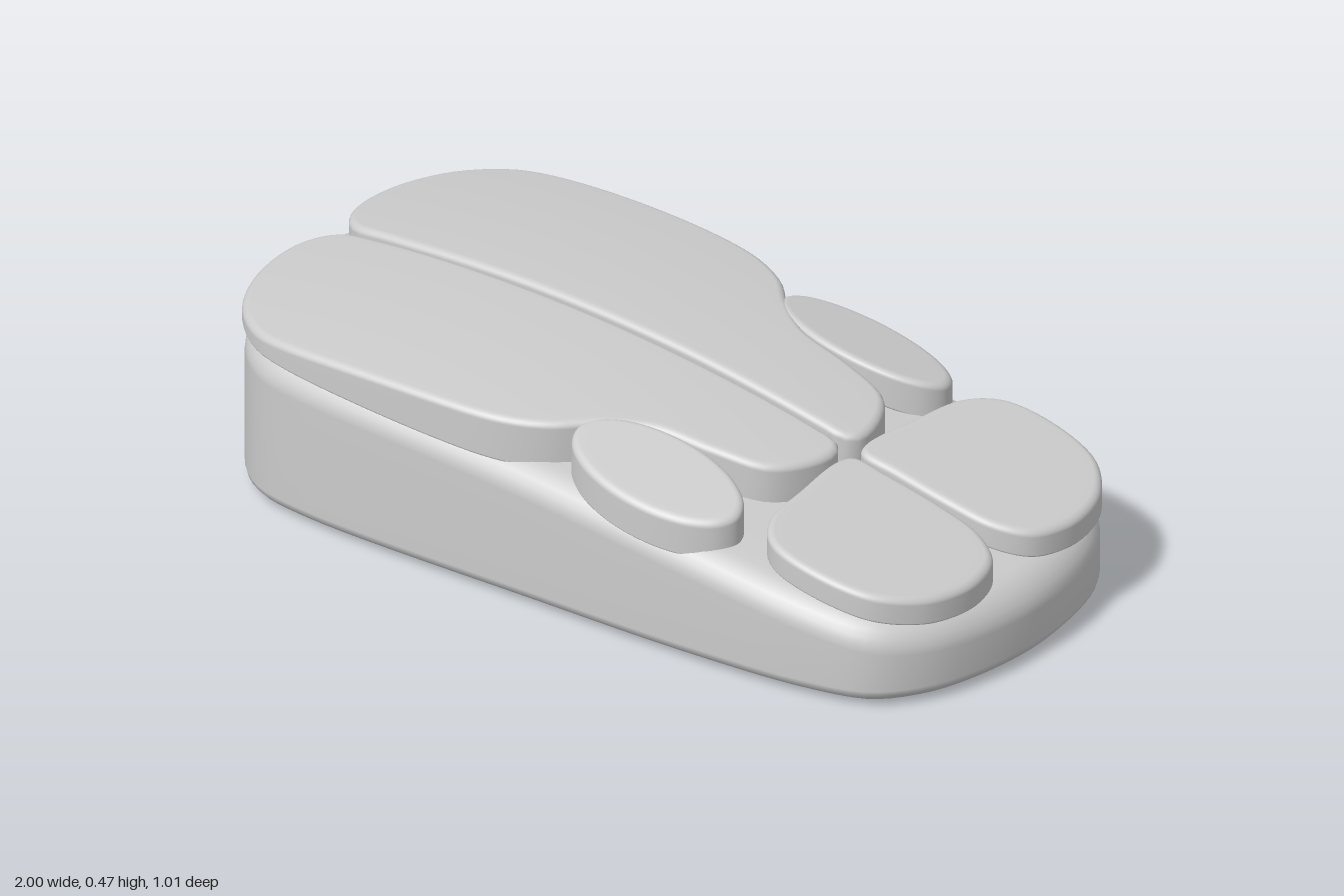
import * as THREE from 'three';

const material = new THREE.MeshStandardMaterial({ color: 0xcccccc, side: THREE.DoubleSide });

// Smooth closed outline in plan, ordered so that (-tz, tx) points outward
function outline(points, count) {
  const curve = new THREE.CatmullRomCurve3(points.map(([x, z]) => new THREE.Vector3(x, 0, z)), true, 'centripetal');
  const pts = curve.getSpacedPoints(count).slice(0, count).map((p) => new THREE.Vector2(p.x, p.z));
  if (THREE.ShapeUtils.area(pts) > 0) pts.reverse();
  return pts;
}

// Cushion between two height fields, with rounded lower and upper rims
function cushion(name, { points, centre, top, bottom, low, high, count = 120 }) {
  const rim = outline(points, count);
  const normals = rim.map((p, i) => {
    const t = rim[(i + 1) % count].clone().sub(rim[(i + count - 1) % count]).normalize();
    return new THREE.Vector2(-t.y, t.x);
  });
  const [lowIn, lowUp] = low, [highIn, highDown] = high;
  const rings = []; // inset from rim, scale about centre, height field, height offset
  for (const s of [0, 0.4, 0.8]) rings.push([lowIn, s, bottom, 0]);
  for (let i = 0; i <= 5; i++) {
    const a = (i / 5) * Math.PI / 2;
    rings.push([lowIn * (1 - Math.sin(a)), 1, bottom, lowUp * (1 - Math.cos(a))]);
  }
  for (let i = 0; i <= 6; i++) {
    const a = (i / 6) * Math.PI / 2;
    rings.push([highIn * (1 - Math.cos(a)), 1, top, -highDown * (1 - Math.sin(a))]);
  }
  for (let i = 11; i >= 0; i--) rings.push([highIn, i / 12, top, 0]);

  const position = [], index = [];
  rings.forEach(([inset, s, field, dy], r) => {
    rim.forEach((p, i) => {
      const x = centre[0] + (p.x - normals[i].x * inset - centre[0]) * s;
      const z = centre[1] + (p.y - normals[i].y * inset - centre[1]) * s;
      position.push(x, field(x, z) + dy, z);
      if (r === 0) return;
      const j = (i + 1) % count, a = (r - 1) * count, b = r * count;
      index.push(a + i, a + j, b + j, a + i, b + j, b + i);
    });
  });
  const geometry = new THREE.BufferGeometry();
  geometry.setAttribute('position', new THREE.Float32BufferAttribute(position, 3));
  geometry.setIndex(index);
  geometry.computeVertexNormals();
  const mesh = new THREE.Mesh(geometry, material);
  mesh.name = name;
  return mesh;
}

export function createModel() {
  const group = new THREE.Group();
  group.name = 'cushionedWedge';

  // Wedge base, outlined on one side and mirrored
  const half = [[0.975, 0.2], [0.93, 0.32], [0.85, 0.41], [0.7, 0.455], [0.4, 0.483], [0, 0.492],
    [-0.65, 0.492], [-0.8, 0.46], [-0.9, 0.37], [-0.97, 0.2]];
  const mirrored = half.map(([x, z]) => [x, -z]).reverse();
  group.add(cushion('base', {
    points: [[1, 0], ...half, [-1, 0], ...mirrored],
    centre: [0, 0],
    top: (x, z) => 0.345 - 0.105 * x - 0.06 * x * x - 0.08 * z * z,
    bottom: () => 0,
    low: [0.07, 0.04],
    high: [0.07, 0.065],
    count: 160,
  }));

  // Pads on one side of the centre seam
  const sidePoints = [];
  for (let i = 0; i < 16; i++) {
    const a = (i / 16) * Math.PI * 2;
    sidePoints.push([0.245 + 0.222 * Math.cos(a), 0.378 + 0.112 * Math.sin(a)]);
  }
  const sideTop = (x, z) => 0.385 - 0.18 * (x - 0.245) - 0.22 * (z - 0.375);
  const frontTop = (x) => 0.35 - 0.17 * (x - 0.5) - 0.08 * (x - 0.5) ** 2;
  const pads = {
    rearPad: {
      points: [[-0.9, 0.02], [-0.8, 0.01], [-0.4, 0.008], [0, 0.008], [0.4, 0.008], [0.46, 0.012], [0.484, 0.04],
        [0.475, 0.12], [0.42, 0.21], [0.3, 0.25], [0.15, 0.28], [0.05, 0.35], [-0.02, 0.42], [-0.12, 0.47],
        [-0.3, 0.497], [-0.7, 0.497], [-0.8, 0.47], [-0.9, 0.38], [-0.96, 0.23], [-0.955, 0.09]],
      centre: [-0.2, 0.2],
      top: (x, z) => 0.472 - 0.12 * (x + 0.45) ** 2 - 0.12 * z * z,
      bottom: (x) => 0.4 - 0.09 * (x + 0.97),
    },
    frontPad: {
      points: [[0.51, 0.012], [0.6, 0.008], [0.75, 0.009], [0.86, 0.022], [0.935, 0.07], [0.965, 0.16], [0.96, 0.25],
        [0.93, 0.33], [0.85, 0.41], [0.7, 0.44], [0.59, 0.42], [0.53, 0.35], [0.505, 0.2], [0.492, 0.05]],
      centre: [0.72, 0.2],
      top: frontTop,
      bottom: (x) => frontTop(x) - 0.065,
    },
    sidePad: {
      points: sidePoints,
      centre: [0.245, 0.378],
      top: sideTop,
      bottom: (x, z) => sideTop(x, z) - 0.09,
    },
  };

  // Mirror every pad across the seam
  for (const [side, sign] of [['Front', 1], ['Back', -1]]) {
    for (const [name, pad] of Object.entries(pads)) {
      group.add(cushion(name + side, {
        points: pad.points.map(([x, z]) => [x, z * sign]),
        centre: [pad.centre[0], pad.centre[1] * sign],
        top: (x, z) => pad.top(x, z * sign),
        bottom: (x, z) => pad.bottom(x, z * sign),
        low: [0.006, 0.006],
        high: [0.018, 0.015],
      }));
    }
  }
  return group;
}
